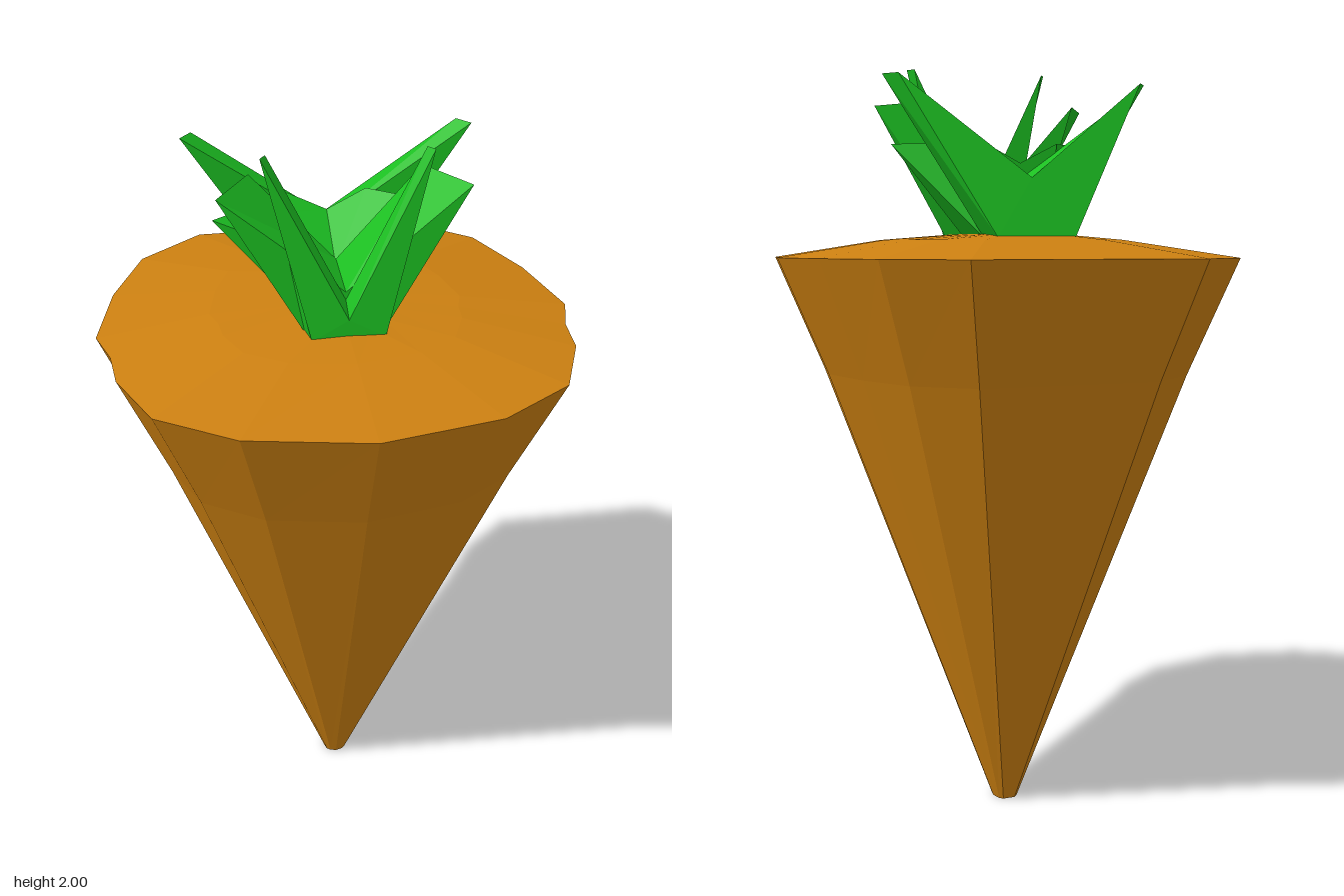
import * as THREE from 'three';

// Flat-shaded mesh from a list of triangles (each three [x, y, z] corners)
function facetMesh(name, triangles, color) {
  const geometry = new THREE.BufferGeometry();
  geometry.setAttribute('position', new THREE.Float32BufferAttribute(triangles.flat(2), 3));
  geometry.computeVertexNormals();
  const material = new THREE.MeshStandardMaterial({ color, flatShading: true, side: THREE.DoubleSide });
  const mesh = new THREE.Mesh(geometry, material);
  mesh.name = name;
  return mesh;
}

// Join successive closed rings, ordered so the faces point outward
function loft(rings) {
  const triangles = [];
  for (let r = 0; r < rings.length - 1; r++) {
    const a = rings[r], b = rings[r + 1], n = a.length;
    for (let i = 0; i < n; i++) {
      const j = (i + 1) % n;
      triangles.push([a[i], a[j], b[j]], [a[i], b[j], b[i]]);
    }
  }
  return triangles;
}

function fan(ring, centre) {
  return ring.map((p, i) => [p, ring[(i + 1) % ring.length], centre]);
}

// Tapered root with a slightly domed crown
function createRoot() {
  const half = [[0.3, 0.54], [0.485, 0.415], [0.56, 0.23], [0.57, 0.11], [0.603, 0],
    [0.555, -0.24], [0.47, -0.46], [0.3, -0.605]];
  const outline = [[0, 0.6], ...half, ...half.slice().reverse().map(([x, z]) => [-x, z])];
  const ring = (y, sx, sz, dz) => outline.map(([x, z]) => [x * sx, y, z * sz + dz]);
  const rings = [
    ring(0, 0.055, 0.062, -0.037),
    ring(1.2, 0.79, 0.795, -0.007),
    ring(1.5, 1, 1, 0),
    ring(1.545, 0.53, 0.53, 0),
    ring(1.56, 0.2, 0.35, -0.02),
  ];
  const tip = fan(rings[0].slice().reverse(), [0, 0, -0.037]);
  const crown = fan(rings[4], [0, 1.56, -0.02]);
  return facetMesh('root', [...loft(rings), ...tip, ...crown], 0xcc8011);
}

// Mirrored pair of leaves: a V between a back and a front section,
// each given as base [x, z], tip [x, z] and valley [y, z]
function createLeafPair(name, tipY, back, front) {
  const section = ({ base, tip, valley }) => [
    [-base[0], 1.55, base[1]],
    [base[0], 1.55, base[1]],
    [tip[0], tipY, tip[1]],
    [0, valley[0], valley[1]],
    [-tip[0], tipY, tip[1]],
  ];
  const b = section(back), f = section(front);
  const cap = ([bl, br, tr, v, tl]) => [[bl, br, v], [br, tr, v], [bl, v, tl]];
  const backCap = cap(b).map((t) => t.reverse());
  return facetMesh(name, [...loft([b, f]).map((t) => t.reverse()), ...cap(f), ...backCap], 0x1cbf22);
}

export function createModel() {
  const group = new THREE.Group();
  group.name = 'rootVegetable';
  group.add(createRoot());

  // Leaf pairs from back to front
  group.add(createLeafPair('backLeaves', 1.95,
    { base: [0.105, -0.265], tip: [0.33, -0.17], valley: [1.7, -0.23] },
    { base: [0.1, -0.15], tip: [0.36, -0.13], valley: [1.7, -0.15] }));
  group.add(createLeafPair('lowLeaves', 1.79,
    { base: [0.1, -0.15], tip: [0.1, -0.15], valley: [1.74, -0.15] },
    { base: [0.1, 0], tip: [0.3, 0], valley: [1.65, 0] }));
  group.add(createLeafPair('middleLeaves', 1.9,
    { base: [0.1, 0], tip: [0.21, 0], valley: [1.67, 0] },
    { base: [0.1, 0.15], tip: [0.3, 0.15], valley: [1.65, 0.15] }));
  group.add(createLeafPair('frontLeaves', 2.0,
    { base: [0.1, 0.15], tip: [0.185, 0.155], valley: [1.63, 0.15] },
    { base: [0.09, 0.2], tip: [0.2, 0.177], valley: [1.6, 0.2] }));
  return group;
}
